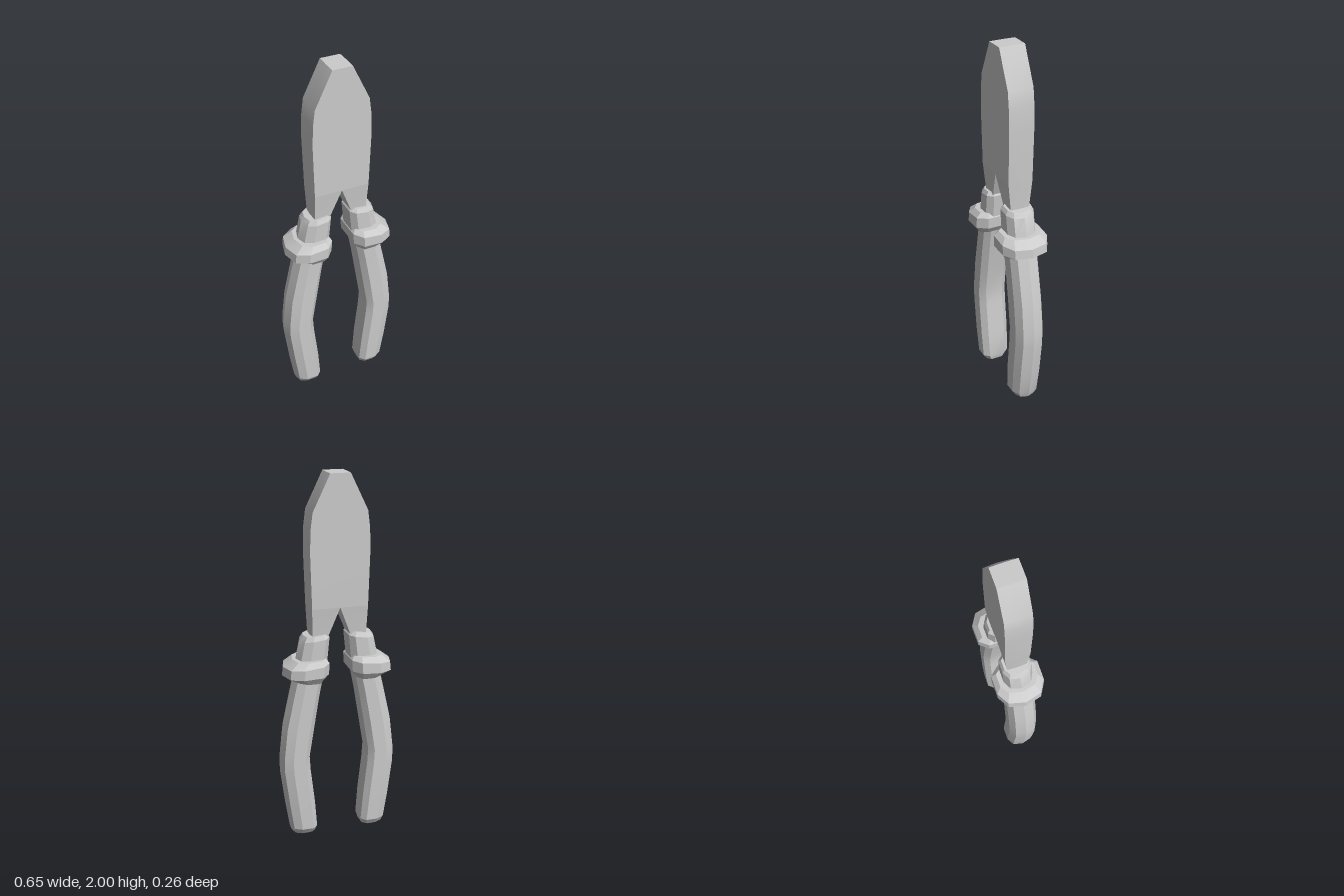
import * as THREE from 'three';
import { toCreasedNormals } from 'three/addons/utils/BufferGeometryUtils.js';

const steel = new THREE.MeshStandardMaterial({ color: 0xcccccc });

// Cross-sections as [u, w]: u runs 0..1 across the width, w -1..1 through the depth
const gripSection = [[0.18, 1], [0.62, 1], [0.9, 0.7], [1, 0], [0.9, -0.7], [0.62, -1], [0.18, -1], [0, -0.62], [0, 0.62]];
const bladeSection = [[0.015, 1], [0.985, 1], [1, 0], [0.985, -1], [0.015, -1], [0, 0]];
const legSection = [[0, 1], [0.97, 1], [1, 0], [0.97, -1], [0, -1]];

// Lofts a section through rings [y, x0, x1, halfDepth, tilt], listed top to bottom
function loft(name, section, rings, side = 1, crease = 0.4) {
  const n = section.length;
  const positions = [];
  for (const [y, x0, x1, depth, tilt = 0] of rings) {
    const ring = section.map(([u, w]) => [side * (x0 + (x1 - x0) * u), y + tilt * (u - 0.5), depth * w]);
    if (side < 0) ring.reverse();
    positions.push(...ring.flat());
  }
  const index = [];
  for (let r = 0; r < rings.length - 1; r++) {
    for (let i = 0; i < n; i++) {
      const j = (i + 1) % n;
      const a = r * n + i, a2 = r * n + j, b = a + n, b2 = a2 + n;
      index.push(b, b2, a2, b, a2, a);
    }
  }
  // End caps
  const last = (rings.length - 1) * n;
  for (let i = 1; i < n - 1; i++) {
    index.push(0, i, i + 1, last, last + i + 1, last + i);
  }
  const geometry = new THREE.BufferGeometry();
  geometry.setAttribute('position', new THREE.Float32BufferAttribute(positions, 3));
  geometry.setIndex(index);
  const mesh = new THREE.Mesh(toCreasedNormals(geometry, crease), steel);
  mesh.name = name;
  return mesh;
}

export function createModel() {
  const model = new THREE.Group();
  model.name = 'pliers';

  // Closed jaws with a tapered, blunt tip
  model.add(loft('jaws', bladeSection, [
    [2, -0.055, 0.055, 0.07],
    [1.81, -0.15, 0.15, 0.07],
    [1.72, -0.162, 0.162, 0.07],
    [1.6, -0.165, 0.165, 0.07],
    [1.31, -0.156, 0.156, 0.068],
  ]));

  for (const side of [1, -1]) {
    const handle = new THREE.Group();
    handle.name = side > 0 ? 'leftHandle' : 'rightHandle';

    // Metal leg running from the jaws into the grip
    handle.add(loft('leg', legSection, [
      [1.31, 0, 0.156, 0.068],
      [1.17, 0.055, 0.15, 0.054],
      [1.13, 0.07, 0.149, 0.052],
    ], side));

    // Short sleeve above the finger guard
    handle.add(loft('sleeve', gripSection, [
      [1.163, 0.068, 0.185, 0.068, -0.012],
      [1.14, 0.053, 0.204, 0.08, -0.02],
      [1.02, 0.066, 0.228, 0.08],
    ], side));

    // Flared finger guard
    handle.add(loft('fingerGuard', gripSection, [
      [1.035, 0.08, 0.245, 0.105, -0.01],
      [1.005, 0.062, 0.295, 0.13, -0.025],
      [0.95, 0.066, 0.3, 0.13, -0.01],
      [0.915, 0.095, 0.235, 0.105],
    ], side));

    // Curved grip with a rounded end
    handle.add(loft('grip', gripSection, [
      [0.94, 0.088, 0.24, 0.08],
      [0.82, 0.112, 0.268, 0.08],
      [0.65, 0.14, 0.306, 0.081],
      [0.48, 0.168, 0.324, 0.082],
      [0.4, 0.163, 0.324, 0.082],
      [0.2, 0.14, 0.298, 0.082],
      [0.05, 0.128, 0.274, 0.077],
      [0.018, 0.137, 0.262, 0.056],
      [0.002, 0.16, 0.24, 0.032],
    ], side));

    model.add(handle);
  }
  return model;
}
